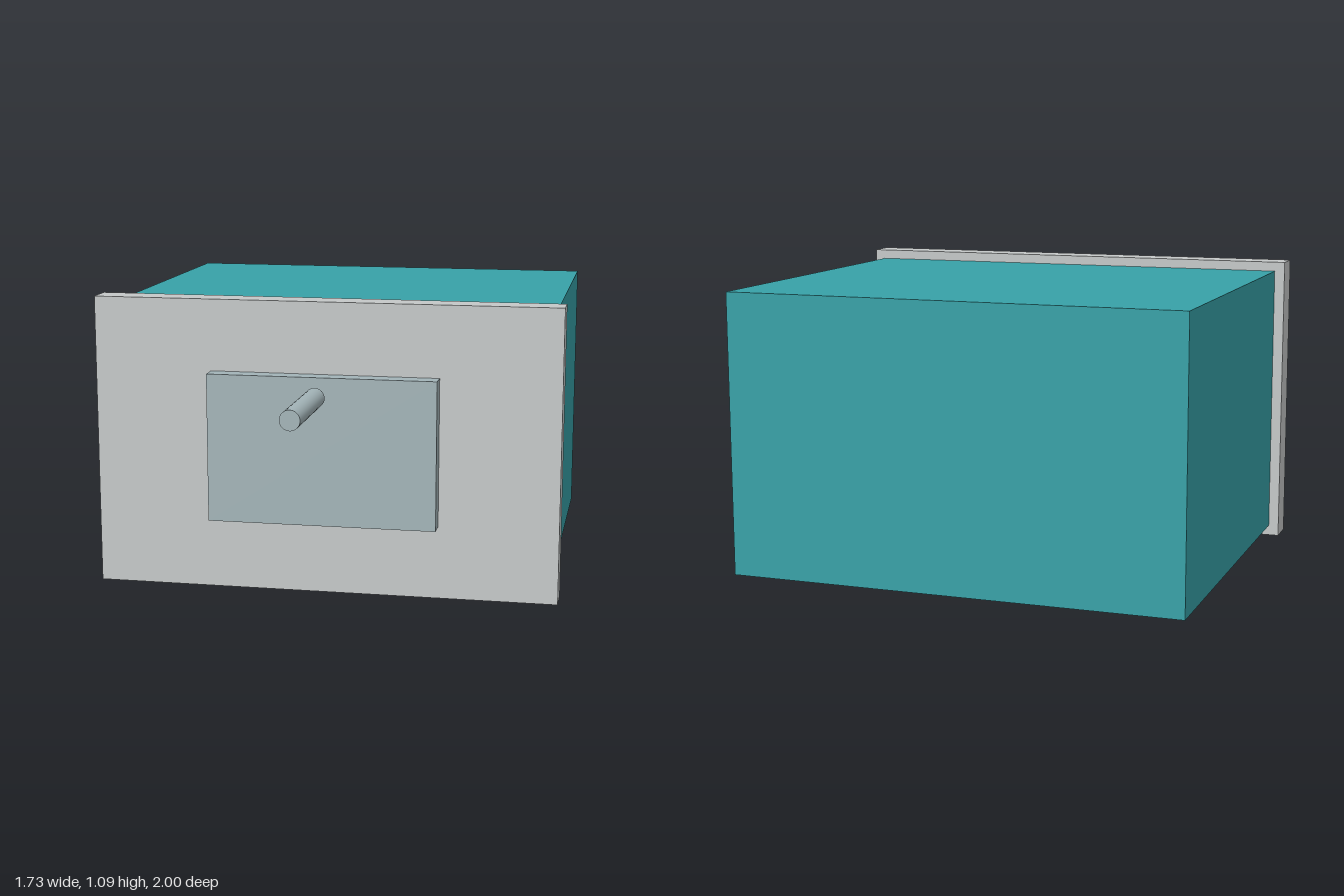
import * as THREE from 'three';

const material = (name, color) => {
  const m = new THREE.MeshStandardMaterial({ color });
  m.name = name;
  return m;
};

export function createModel() {
  const group = new THREE.Group();
  const teal = material('teal', 0x37a2a8);
  const lightGrey = material('lightGrey', 0xc5c8c8);
  const blueGrey = material('blueGrey', 0xa3b4b8);

  // Box spanning the given ranges, symmetric about x = 0
  const addBox = (name, mat, halfWidth, y0, y1, z0, z1) => {
    const mesh = new THREE.Mesh(new THREE.BoxGeometry(halfWidth * 2, y1 - y0, z1 - z0), mat);
    mesh.name = name;
    mesh.position.set(0, (y0 + y1) / 2, (z0 + z1) / 2);
    group.add(mesh);
  };

  addBox('body', teal, 0.825, 0.038, 1.05, -1, 0.322);
  addBox('frontPanel', lightGrey, 0.863, 0, 1.085, 0.322, 0.432);
  addBox('frontPlate', blueGrey, 0.423, 0.27, 0.82, 0.432, 0.5);

  // Free-standing rod ahead of the plate
  const rod = new THREE.Mesh(new THREE.CylinderGeometry(0.036, 0.036, 0.404, 32), blueGrey);
  rod.name = 'handleRod';
  rod.rotation.x = Math.PI / 2;
  rod.position.set(0, 0.765, 0.798);
  group.add(rod);

  return group;
}
